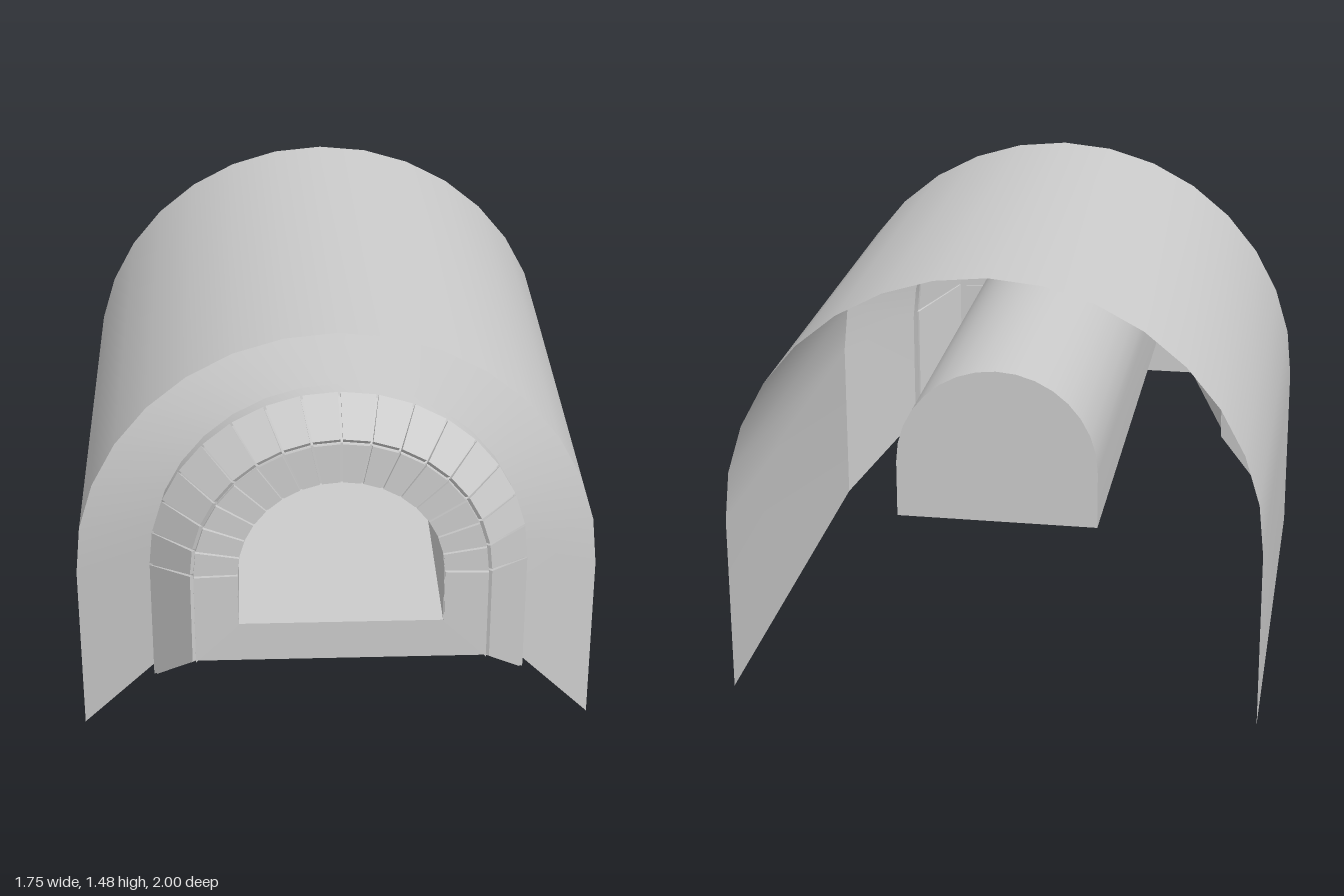
import * as THREE from 'three';

const SEGMENTS = 16;
const material = new THREE.MeshStandardMaterial({ color: 0xcccccc, side: THREE.DoubleSide });

// Arch outline at depth z: straight legs from y0 up to cy, then a semicircle of radius r.
function arch(r, cy, y0, z) {
  const pts = [new THREE.Vector3(r, y0, z)];
  for (let i = 0; i <= SEGMENTS; i++) {
    const a = (Math.PI * i) / SEGMENTS;
    pts.push(new THREE.Vector3(r * Math.cos(a), cy + r * Math.sin(a), z));
  }
  pts.push(new THREE.Vector3(-r, y0, z));
  return pts;
}

function mesh(name, geometry) {
  geometry.computeVertexNormals();
  const m = new THREE.Mesh(geometry, material);
  m.name = name;
  return m;
}

// Smooth surface between two arches.
function strip(name, a, b) {
  const n = a.length, index = [];
  for (let i = 0; i < n - 1; i++) index.push(i, i + 1, n + i, i + 1, n + i + 1, n + i);
  const g = new THREE.BufferGeometry().setFromPoints([...a, ...b]);
  g.setIndex(index);
  return mesh(name, g);
}

function quad(name, ...corners) {
  const g = new THREE.BufferGeometry().setFromPoints(corners);
  g.setIndex([0, 1, 2, 0, 2, 3]);
  return mesh(name, g);
}

// Hard-edged block between an outer face and a back face of four corners each.
function block(name, f, k) {
  const pts = [];
  const face = (a, b, c, d) => pts.push(a, b, c, a, c, d);
  face(f[0], f[1], f[2], f[3]);
  face(k[3], k[2], k[1], k[0]);
  for (let j = 0; j < 4; j++) {
    const n = (j + 1) % 4;
    face(k[j], k[n], f[n], f[j]);
  }
  return mesh(name, new THREE.BufferGeometry().setFromPoints(pts));
}

// Row of bricks around an arch, with a leg block at each end and thin open joints.
function brickRow(name, outerA, outerB, backA, backB, gap) {
  const row = new THREE.Group();
  row.name = name;
  const last = outerA.length - 2;
  for (let i = 0; i <= last; i++) {
    const edge = (p) => {
      const t = gap / p[i].distanceTo(p[i + 1]);
      return [
        p[i].clone().lerp(p[i + 1], i === 0 ? 0 : t),
        p[i + 1].clone().lerp(p[i], i === last ? 0 : t),
      ];
    };
    const corners = (a, b) => {
      const [a0, a1] = edge(a), [b0, b1] = edge(b);
      return [a0, a1, b1, b0];
    };
    const part = i === 0 || i === last ? 'legBlock' : 'brick';
    row.add(block(part, corners(outerA, outerB), corners(backA, backB)));
  }
  return row;
}

export function createModel() {
  const model = new THREE.Group();
  model.name = 'vaultedOven';

  // Shell: outer vault, stepped front and inner chamber, from the back edge inwards
  const rings = [
    arch(0.873, 0.605, 0, -1),
    arch(0.873, 0.605, 0, 0.655),
    arch(0.61, 0.727, 0.3, 0.735),
    arch(0.61, 0.727, 0.3, 0.815),
    arch(0.472, 0.79, 0.465, 0.988),
    arch(0.33, 0.795, 0.605, 0.99),
    arch(0.33, 0.795, 0.605, -0.87),
  ];
  const names = ['outerVault', 'frontShoulder', 'collar', 'splayBacking', 'faceBacking', 'chamberVault'];
  names.forEach((name, i) => model.add(strip(name, rings[i], rings[i + 1])));

  // Chamber end wall, floor and sill
  const end = rings[6], mouth = rings[5], lip = rings[4], last = end.length - 1;
  model.add(mesh('chamberEndWall', new THREE.ShapeGeometry(
    new THREE.Shape(end.map((p) => new THREE.Vector2(p.x, p.y)))).translate(0, 0, -0.87)));
  model.add(quad('chamberFloor', mouth[last], mouth[0], end[0], end[last]));
  model.add(quad('sill', lip[last], lip[0], mouth[0], mouth[last]));

  // Splayed outer bricks
  model.add(brickRow('splayBricks',
    arch(0.619, 0.73, 0.3, 0.813), arch(0.483, 0.793, 0.465, 0.995),
    arch(0.604, 0.73, 0.305, 0.81), arch(0.468, 0.793, 0.47, 0.984), 0.004));

  // Flat face bricks around the mouth
  model.add(brickRow('faceBricks',
    arch(0.472, 0.79, 0.466, 1), arch(0.332, 0.795, 0.605, 1),
    arch(0.472, 0.79, 0.466, 0.984), arch(0.332, 0.795, 0.605, 0.984), 0.004));

  return model;
}
